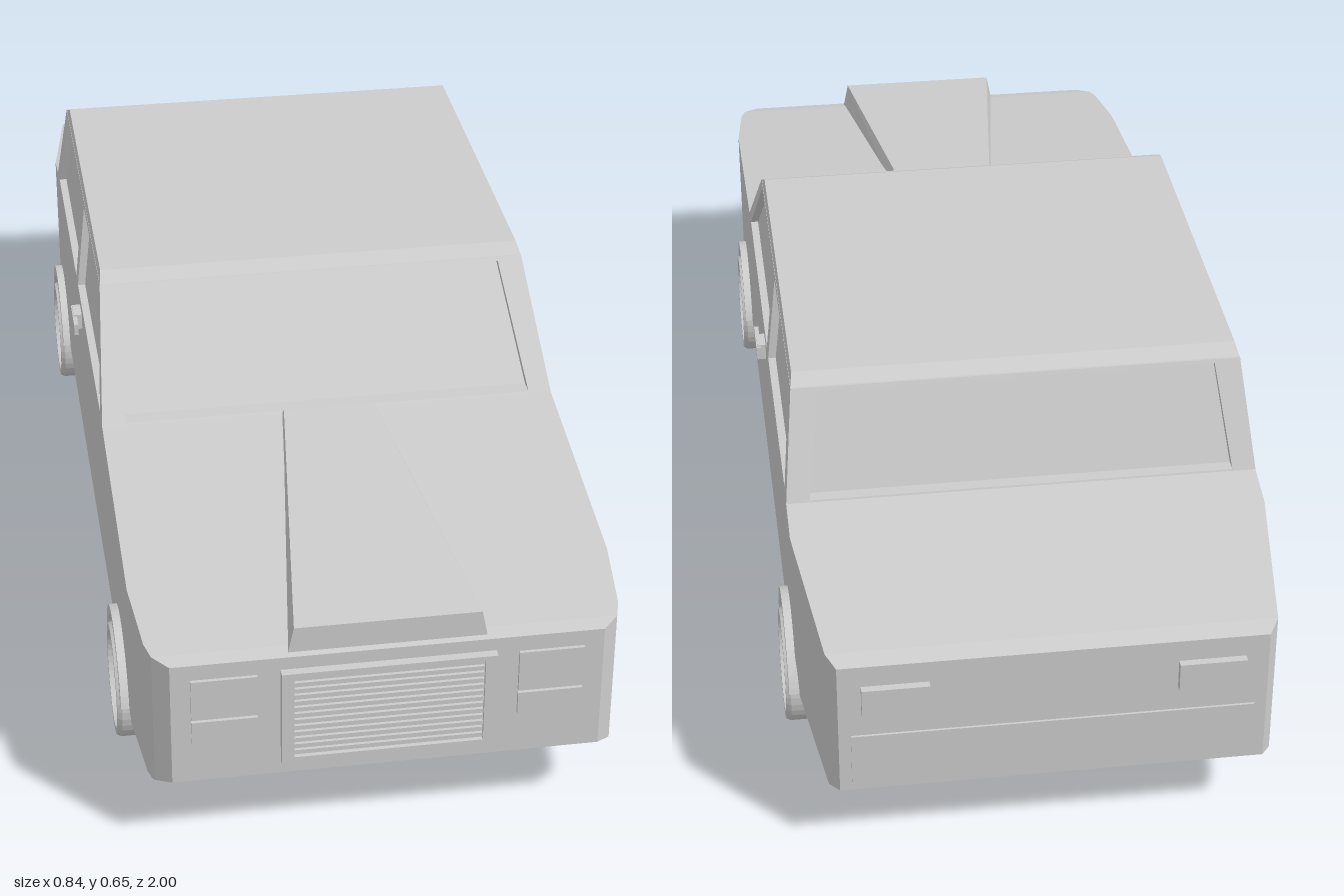
import * as THREE from 'three';

const material = new THREE.MeshStandardMaterial({ color: 0xcccccc, flatShading: true });
const smooth = new THREE.MeshStandardMaterial({ color: 0xcccccc });
const FRONT_AXLE = 0.632, REAR_AXLE = -0.6, AXLE_Y = 0.1, ARCH = 0.116;

// Piecewise linear lookup through [position, value] pairs
function lerpTable(table, t) {
  for (let i = 1; i < table.length; i++) {
    const [a, va] = table[i - 1], [b, vb] = table[i];
    if (t <= b) return va + (vb - va) * Math.max(0, (t - a) / (b - a));
  }
  return table[table.length - 1][1];
}

// Closed skin over rings, each counter-clockwise seen from the end of the sweep
function loft(rings) {
  const n = rings[0].length, index = [];
  for (let i = 0; i < rings.length - 1; i++) {
    for (let j = 0; j < n; j++) {
      const a = i * n + j, b = i * n + (j + 1) % n;
      index.push(a, b, b + n, a, b + n, a + n);
    }
  }
  const last = (rings.length - 1) * n;
  for (let j = 1; j < n - 1; j++) {
    index.push(0, j + 1, j, last, last + j, last + j + 1);
  }
  const geo = new THREE.BufferGeometry();
  geo.setAttribute('position', new THREE.Float32BufferAttribute(rings.flat(2), 3));
  geo.setIndex(index);
  const flat = geo.toNonIndexed();
  flat.computeVertexNormals();
  return flat;
}

// Upright ring across the car, and level ring around it
const crossRing = (z, wBottom, yBottom, wTop, yTop) =>
  [[wBottom, yBottom, z], [wTop, yTop, z], [-wTop, yTop, z], [-wBottom, yBottom, z]];
const levelRing = (y, w, front, back) =>
  [[w, y, front], [w, y, back], [-w, y, back], [-w, y, front]];

function polygon(points, holes = []) {
  const shape = new THREE.Shape(points.map(p => new THREE.Vector2(...p)));
  for (const h of holes) shape.holes.push(new THREE.Path(h.map(p => new THREE.Vector2(...p))));
  return shape;
}

// Extruded shape whose vertices are moved by place(x, y, depth)
function placedPanel(shape, depth, place, curveSegments = 16) {
  const geo = new THREE.ExtrudeGeometry(shape, { depth, bevelEnabled: false, curveSegments });
  const p = geo.attributes.position;
  for (let i = 0; i < p.count; i++) p.setXYZ(i, ...place(p.getX(i), p.getY(i), p.getZ(i)));
  geo.computeVertexNormals();
  return geo;
}

export function createModel() {
  const model = new THREE.Group();
  const add = (name, geo, mat = material, parent = model) => {
    const mesh = new THREE.Mesh(geo, mat);
    mesh.name = name;
    parent.add(mesh);
    return mesh;
  };
  const addBox = (name, w, h, d, x, y, z) =>
    add(name, new THREE.BoxGeometry(w, h, d)).position.set(x, y, z);

  // Lower body: plan width, top line and sill line, with wheel arches cut out
  const width = [[-0.987, 0.35], [-0.965, 0.366], [-0.7, 0.4], [0.8, 0.4], [0.93, 0.387], [0.96, 0.378], [0.985, 0.352]];
  const top = [[-0.987, 0.385], [-0.965, 0.4], [-0.73, 0.434], [-0.62, 0.455], [0.38, 0.455], [0.96, 0.381], [0.985, 0.375]];
  const sill = [[-0.987, 0.135], [-0.95, 0.13], [0.95, 0.13], [0.985, 0.146]];
  const stations = new Set([...width, ...top, ...sill].map(p => p[0]));
  const startAngle = Math.asin((0.13 - AXLE_Y) / ARCH);
  for (const c of [FRONT_AXLE, REAR_AXLE]) {
    for (let i = 0; i <= 14; i++) {
      const a = startAngle + (Math.PI - 2 * startAngle) * i / 14;
      stations.add(c + ARCH * Math.cos(a));
    }
  }
  const bottomAt = z => {
    let y = lerpTable(sill, z);
    for (const c of [FRONT_AXLE, REAR_AXLE]) {
      const d = Math.abs(z - c);
      if (d < ARCH) y = Math.max(y, AXLE_Y + Math.sqrt(ARCH * ARCH - d * d));
    }
    return y;
  };
  add('body', loft([...stations].sort((a, b) => a - b).map(z => {
    const w = lerpTable(width, z);
    return crossRing(z, w, bottomAt(z), w, lerpTable(top, z));
  })));

  // Floor between the wheel wells
  for (const z of [FRONT_AXLE, REAR_AXLE]) addBox('wheelWellFloor', 0.62, 0.12, 0.26, 0, 0.19, z);

  // Raised hood centre
  add('hoodBulge', loft([
    crossRing(0.38, 0.095, 0.43, 0.08, 0.461),
    crossRing(0.975, 0.165, 0.36, 0.152, 0.423),
  ]));

  // Cabin: glass block, window frames and roof
  add('glass', loft([levelRing(0.45, 0.387, 0.357, -0.605), levelRing(0.635, 0.366, 0.164, -0.53)]));
  add('roof', loft([levelRing(0.63, 0.381, 0.192, -0.546), levelRing(0.646, 0.377, 0.16, -0.515)]));
  const slope = (bottom, topValue) => y => bottom + (topValue - bottom) * (y - 0.455) / 0.177;
  const sideX = slope(0.4, 0.381), frontZ = slope(0.38, 0.19), rearZ = slope(-0.625, -0.546);
  const endShape = polygon(
    [[-0.4, 0.455], [0.4, 0.455], [0.381, 0.632], [-0.381, 0.632]],
    [[[-0.36, 0.458], [0.36, 0.458], [0.337, 0.626], [-0.337, 0.626]]]);
  add('windshieldFrame', placedPanel(endShape, 0.03, (x, y, d) => [x, y, frontZ(y) - 0.03 + d]));
  add('rearWindowFrame', placedPanel(endShape, 0.025, (x, y, d) => [x, y, rearZ(y) + d]));
  const sideShape = polygon(
    [[0.38, 0.455], [0.19, 0.632], [-0.546, 0.632], [-0.625, 0.455]],
    [[[0.335, 0.459], [0.168, 0.623], [-0.132, 0.623], [-0.132, 0.459]],
      [[-0.17, 0.459], [-0.17, 0.623], [-0.51, 0.623], [-0.583, 0.459]]]);
  for (const side of [1, -1]) {
    add('sideWindowFrame', placedPanel(sideShape, 0.02, (s, y, d) =>
      [side > 0 ? sideX(y) - d : -sideX(y) + 0.02 - d, y, s]));
  }

  // Wheel arch flares
  for (const [c, height] of [[FRONT_AXLE, 0.126], [REAR_AXLE, 0.134]]) {
    const arch = new THREE.Shape();
    arch.absellipse(0, 0.1, 0.134, height, 0.25, Math.PI - 0.25, false);
    arch.absellipse(0, 0.1, 0.112, 0.112, Math.PI - 0.27, 0.27, true);
    for (const side of [1, -1]) {
      add('wheelArch', placedPanel(arch, 0.03, (s, y, d) =>
        [side > 0 ? 0.414 - d : -0.384 - d, y, c + s]));
    }
  }

  // Wheels with a shallow dished rim
  const wheelProfile = [[0, 0.325], [0.098, 0.325], [0.1, 0.328], [0.1, 0.41], [0.096, 0.418],
    [0.084, 0.418], [0.082, 0.409], [0, 0.413]].map(p => new THREE.Vector2(...p));
  const wheelGeo = new THREE.LatheGeometry(wheelProfile, 40).toNonIndexed();
  wheelGeo.computeVertexNormals();
  for (const z of [FRONT_AXLE, REAR_AXLE]) {
    for (const side of [1, -1]) {
      const wheel = add('wheel', wheelGeo);
      wheel.position.set(0, AXLE_Y, z);
      wheel.rotation.z = -side * Math.PI / 2;
    }
    const axle = add('axle', new THREE.CylinderGeometry(0.022, 0.022, 0.66, 16), smooth);
    axle.position.set(0, AXLE_Y, z);
    axle.rotation.z = Math.PI / 2;
  }

  // Drive shaft
  add('driveShaft', loft([[REAR_AXLE, 0.09], [-0.42, 0.112], [0.42, 0.112], [FRONT_AXLE, 0.09]]
    .map(([z, y]) => crossRing(z, 0.02, y - 0.015, 0.02, y + 0.015))));

  // Grille frame and slats
  const grilleShape = polygon(
    [[-0.175, 0.172], [0.175, 0.172], [0.175, 0.352], [-0.175, 0.352]],
    [[[-0.155, 0.186], [0.155, 0.186], [0.155, 0.345], [-0.155, 0.345]]]);
  add('grilleFrame', placedPanel(grilleShape, 0.02, (x, y, d) => [x, y, 0.98 + d]));
  for (let i = 0; i < 13; i++) addBox('grilleSlat', 0.312, 0.008, 0.016, 0, 0.192 + i * 0.0122, 0.987);

  // Lamps and door handles, mirrored
  for (const side of [1, -1]) {
    addBox('headlight', 0.107, 0.075, 0.016, side * 0.266, 0.309, 0.983);
    addBox('frontIndicator', 0.107, 0.041, 0.016, side * 0.266, 0.246, 0.983);
    addBox('tailLight', 0.11, 0.052, 0.024, side * 0.257, 0.32, -0.988);
    addBox('handleGrip', 0.008, 0.022, 0.075, side * 0.413, 0.425, -0.058);
    addBox('handleMount', 0.02, 0.03, 0.04, side * 0.405, 0.424, -0.072);
  }

  // Rear lower panel
  addBox('rearPanel', 0.66, 0.095, 0.01, 0, 0.2, -0.986);
  return model;
}
